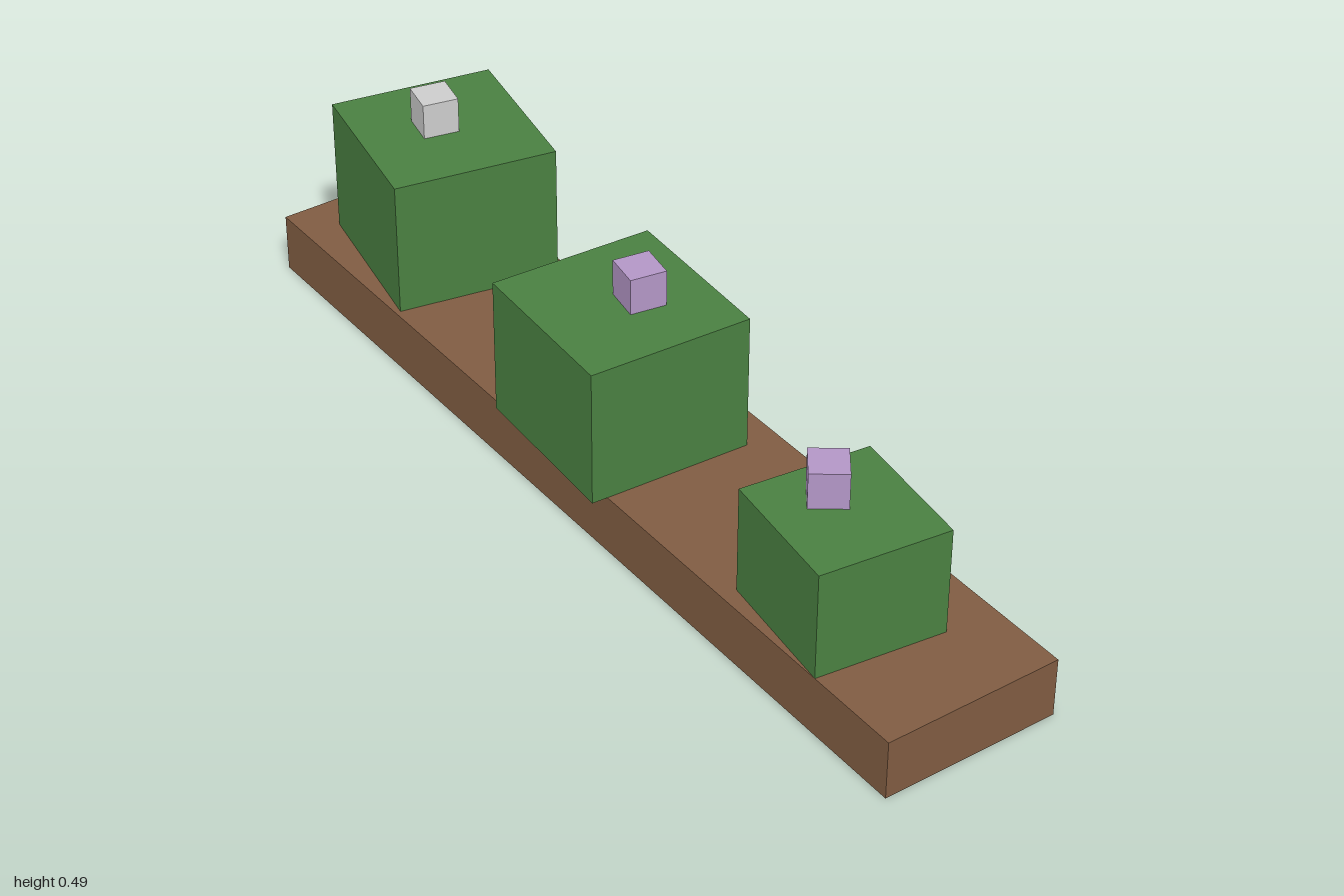
import * as THREE from 'three';

const flat = (name, color) => {
  const m = new THREE.MeshStandardMaterial({ color, side: THREE.DoubleSide });
  m.name = name;
  return m;
};

// Box standing on y = 0 with no underside
function openBox(w, h, d) {
  const geo = new THREE.BoxGeometry(w, h, d).translate(0, h / 2, 0);
  const index = Array.from(geo.index.array);
  index.splice(18, 6); // drop the downward face
  geo.setIndex(index);
  geo.clearGroups();
  return geo;
}

export function createModel() {
  const wood = flat('brown wood', 0x805c42);
  const leaf = flat('green leaf', 0x4a8041);
  const lilac = flat('lilac petal', 0xb396c6);
  const pale = flat('pale grey petal', 0xcccccc);

  const model = new THREE.Group();
  model.name = 'flowerPlanter';

  const add = (name, size, pos, turn, material) => {
    const mesh = new THREE.Mesh(openBox(...size), material);
    mesh.name = name;
    mesh.position.set(...pos);
    mesh.rotation.y = turn;
    model.add(mesh);
  };

  // Long planter box
  const rim = 0.125;
  add('planter', [2, rim, 0.375], [0, 0, 0.002], 0, wood);

  // Three twisted shrubs, each with one flower block on top
  const plants = [
    { side: 'right', size: [0.353, 0.287, 0.341], at: [-0.707, -0.022], turn: -0.19,
      flowerAt: [-0.721, -0.013], flowerTurn: -0.21, petal: pale },
    { side: 'middle', size: [0.353, 0.287, 0.341], at: [0.004, 0.042], turn: -0.055,
      flowerAt: [0.021, 0.01], flowerTurn: -0.165, petal: lilac },
    { side: 'left', size: [0.274, 0.225, 0.267], at: [0.678, 0.04], turn: -0.125,
      flowerAt: [0.63, 0.041], flowerTurn: -0.63, petal: lilac },
  ];
  for (const p of plants) {
    add(p.side + 'Shrub', p.size, [p.at[0], rim, p.at[1]], p.turn, leaf);
    add(p.side + 'Flower', [0.076, 0.075, 0.074],
      [p.flowerAt[0], rim + p.size[1], p.flowerAt[1]], p.flowerTurn, p.petal);
  }

  return model;
}
